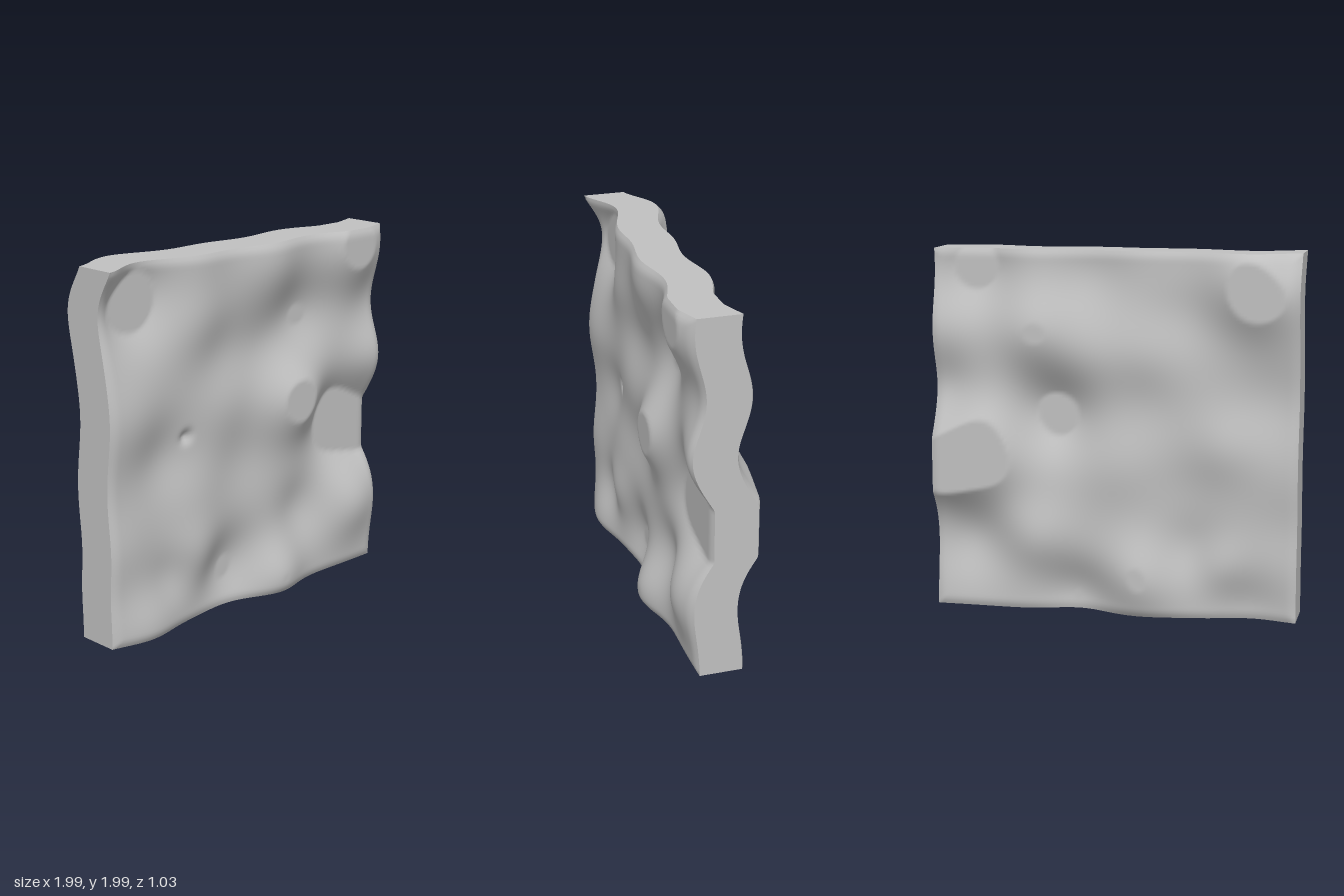
import * as THREE from 'three';

// Bumps of the slab's mid surface: across, height, amount, radius
const BUMPS = [
  // top row
  [-0.78, 1.8, -0.13, 0.23], [-1.0, 2.05, 0.1, 0.2], [-0.36, 2.0, 0.03, 0.2],
  [0.13, 1.88, 0.07, 0.24], [0.77, 1.88, 0.115, 0.23],
  // upper middle
  [-0.38, 1.65, 0.04, 0.22], [-0.18, 1.45, -0.03, 0.2], [0.1, 1.42, -0.03, 0.2],
  [0.42, 1.55, -0.08, 0.22], [0.98, 1.55, -0.03, 0.2],
  // middle
  [-0.87, 1.2, 0.05, 0.25], [-0.62, 0.95, -0.04, 0.2], [-0.2, 1.15, 0.02, 0.2],
  [-0.4, 0.7, 0.02, 0.2], [-0.03, 0.82, -0.03, 0.22], [0.33, 1.09, 0.125, 0.22],
  [0.73, 0.89, -0.135, 0.25], [0.97, 0.78, -0.1, 0.18], [0.95, 1.22, 0.06, 0.2],
  // bottom row
  [-0.76, 0.05, 0.07, 0.22], [-0.92, 0.5, 0.03, 0.22], [-0.58, 0.3, -0.04, 0.16],
  [-0.42, 0.37, 0.06, 0.2], [-0.15, 0.22, -0.085, 0.22], [0.2, 0.09, 0.09, 0.2],
  [0.43, 0.42, -0.06, 0.2], [0.8, 0.38, 0.08, 0.22],
];

const WIDTH = 2, HEIGHT = 1.985, THICK = 0.264;

// Wavy offset, cut flat at its highest and lowest levels
function wave(u, y) {
  let m = 0.015;
  for (const [bu, by, a, r] of BUMPS) {
    m += a * Math.exp(-((u - bu) ** 2 + (y - by) ** 2) / (r * r));
  }
  return THREE.MathUtils.clamp(m, -0.055, 0.098);
}

export function createModel() {
  const stone = new THREE.MeshStandardMaterial({ color: 0xc0c0c0 });
  stone.name = 'plain grey';

  const geo = new THREE.BoxGeometry(WIDTH, HEIGHT, THICK, 120, 120, 6);
  geo.translate(0, HEIGHT / 2, 0);
  const p = geo.attributes.position;
  for (let i = 0; i < p.count; i++) {
    const u = p.getX(i), y = p.getY(i);
    let z = p.getZ(i);
    // softened rim
    const edge = Math.min(WIDTH / 2 - Math.abs(u), y, HEIGHT - y);
    const k = Math.max(0, 1 - edge / 0.05);
    z *= 1 - 0.12 * k * k;
    // small pit in the front face
    if (z > THICK * 0.4) {
      z -= 0.03 * Math.exp(-((u + 0.455) ** 2 + (y - 1.03) ** 2) / 0.0011);
    }
    p.setZ(i, z + wave(u, y));
  }
  geo.computeVertexNormals();

  const slab = new THREE.Mesh(geo, stone);
  slab.name = 'wavySlab';
  slab.rotation.y = THREE.MathUtils.degToRad(20);

  const group = new THREE.Group();
  group.name = 'wavyPanel';
  group.add(slab);
  return group;
}
